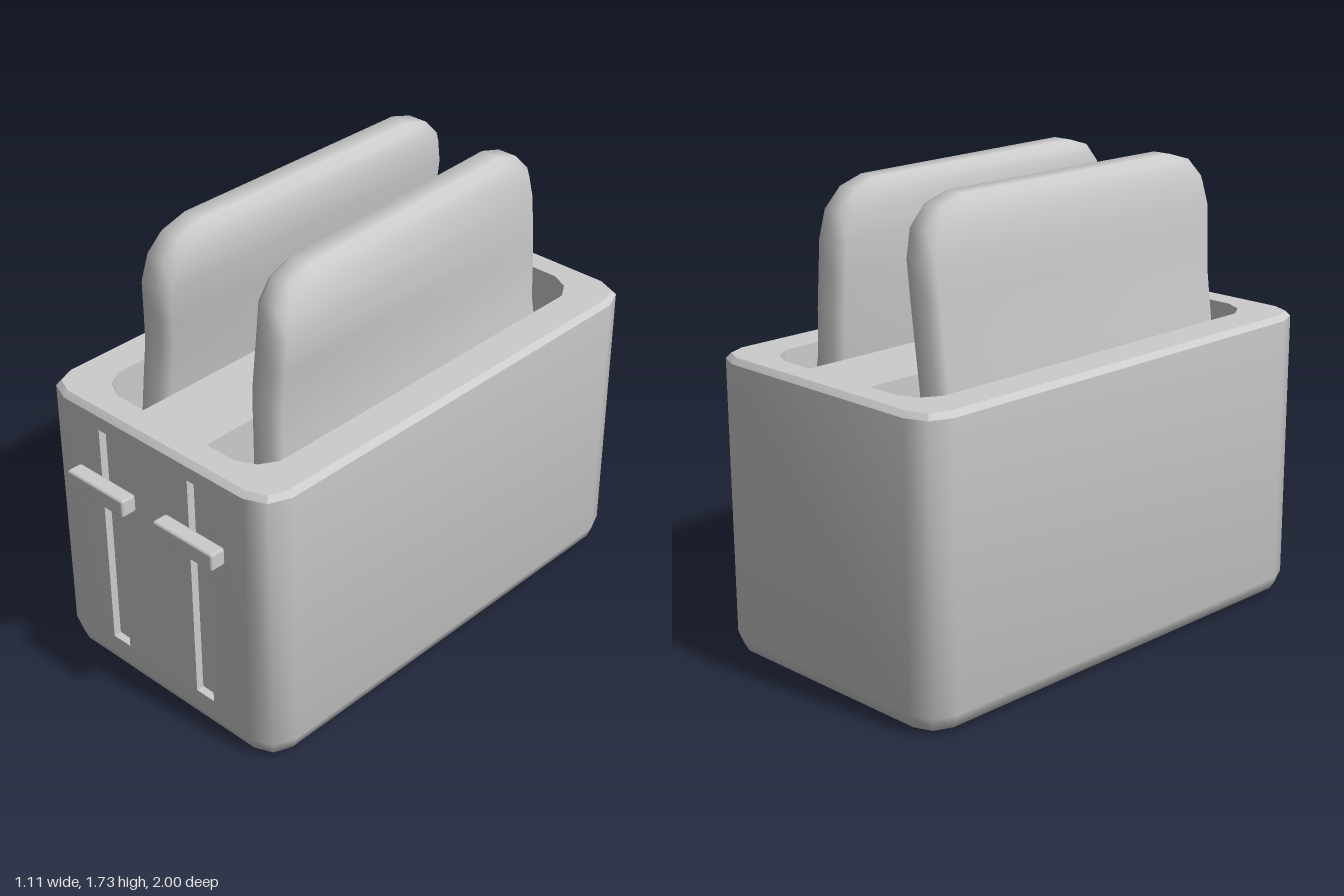
import * as THREE from 'three';
import { mergeGeometries, toCreasedNormals } from 'three/addons/utils/BufferGeometryUtils.js';
import { RoundedBoxGeometry } from 'three/addons/geometries/RoundedBoxGeometry.js';

const grey = new THREE.MeshStandardMaterial({ color: 0xcccccc });
const FRONT = 0.925, TOP = 1.12, WALL_TOP = 1.1, ZC = -0.0375;

function mesh(name, geometry) {
  const m = new THREE.Mesh(geometry, grey);
  m.name = name;
  return m;
}

// Joins closed rings of points; skip(i, j) leaves a quad open, caps adds extra quads
function loft(rings, skip = () => false, caps = []) {
  const n = rings[0].length, index = [];
  for (let i = 0; i < rings.length - 1; i++) {
    for (let j = 0; j < n; j++) {
      if (skip(i, j)) continue;
      const k = (j + 1) % n;
      const a = i * n + j, b = i * n + k, c = b + n, d = a + n;
      index.push(a, d, c, a, c, b);
    }
  }
  for (const [a, b, c, d] of caps) index.push(a, b, c, a, c, d);
  const g = new THREE.BufferGeometry();
  g.setAttribute('position', new THREE.Float32BufferAttribute(rings.flat(2), 3));
  g.setIndex(index);
  return g;
}

function flat(points, holes = []) {
  const shape = new THREE.Shape(points);
  shape.holes = holes.map((h) => new THREE.Path(h));
  return new THREE.ShapeGeometry(shape);
}

// Merges pieces on position only and smooths below the crease angle
function join(pieces, crease) {
  for (const g of pieces) {
    g.deleteAttribute('uv');
    g.deleteAttribute('normal');
  }
  return toCreasedNormals(mergeGeometries(pieces), crease);
}

// Recess below the XY plane: inward walls and a floor
function pocket(points, depth) {
  const at = (z) => points.map((p) => [p.x, p.y, z]);
  return [loft([at(-depth), at(0)]), flat(points).translate(0, 0, -depth)];
}

// Rounded rectangle outline with two facets per corner
function outline(inset) {
  const r = 0.115 - inset, pts = [];
  for (let q = 0; q < 4; q++) {
    const sx = q === 0 || q === 3 ? 1 : -1, sz = q < 2 ? 1 : -1;
    for (let s = 0; s < 3; s++) {
      const a = (q + s / 2) * Math.PI / 2;
      pts.push(new THREE.Vector2(sx * 0.44 + r * Math.cos(a), ZC + sz * 0.8475 + r * Math.sin(a)));
    }
  }
  return pts;
}

function createBody() {
  const body = new THREE.Group();
  body.name = 'body';
  const ring = (y, inset) => outline(inset).map((p) => [p.x, y, p.y]);
  const V = (x, y) => new THREE.Vector2(x, y);
  const rect = (x0, y0, x1, y1) => [V(x0, y0), V(x1, y0), V(x1, y1), V(x0, y1)];

  // Walls, rounded bottom, and front panel cut for the lever tracks
  const tracks = [-0.22, 0.22].map((x) => rect(x - 0.043, 0.14, x + 0.043, 1.045));
  const shell = [
    loft([ring(0, 0.065), ring(0.02, 0.02), ring(0.07, 0), ring(WALL_TOP, 0)], (i, j) => i === 2 && j === 2),
    flat(rect(-0.44, 0.07, 0.44, WALL_TOP), tracks).translate(0, 0, FRONT),
    flat(outline(0.065)).rotateX(Math.PI / 2),
  ];
  body.add(mesh('shell', join(shell, 0.87)));
  const grooves = tracks.flatMap((t) => pocket(t, 0.03));
  body.add(mesh('leverTracks', join(grooves, 0.5).translate(0, 0, FRONT)));

  // Chamfered rim and top plate with the two bread slots (shape y is -z)
  const half = [
    [0.155, -0.81], [0.29, -0.81], [0.36, -0.775], [0.4, -0.71],
    [0.4, 0.79], [0.36, 0.855], [0.29, 0.89], [0.155, 0.89],
  ];
  const slots = [
    half.map(([x, y]) => V(x, y)),
    half.map(([x, y]) => V(-x, y)).reverse(),
  ];
  const plate = flat(outline(0.02).map((p) => V(p.x, -p.y)), slots);
  const rim = [
    loft([ring(WALL_TOP, 0), ring(TOP, 0.02)]),
    plate.rotateX(-Math.PI / 2).translate(0, TOP, 0),
  ];
  body.add(mesh('topRim', join(rim, 0.5)));
  const wells = slots.flatMap((s) => pocket(s, 0.92));
  body.add(mesh('breadSlots', join(wells, 0.87).rotateX(-Math.PI / 2).translate(0, TOP, 0)));
  return body;
}

// Piecewise linear lookup in [y, value] pairs
function lookup(table, y) {
  if (y <= table[0][0]) return table[0][1];
  for (let i = 1; i < table.length; i++) {
    const [y0, v0] = table[i - 1], [y1, v1] = table[i];
    if (y <= y1) return v0 + (v1 - v0) * (y - y0) / (y1 - y0);
  }
  return table[table.length - 1][1];
}

// Bread slice: bevelled rows stacked upward, bent sideways at front and back ends
function createToast(name, frontBend, backBend, frontBulge) {
  const bevel = 0.03, thick = 0.07;
  // y, half length, outline normal along z and y
  const rows = [0.25, 0.8, 0.95, 1.12, 1.28, 1.4].map((y) => [y, 0.705, 1, 0]);
  rows.push([1.53, 0.705, 0.97, 0.2], [1.63, 0.68, 0.87, 0.5], [1.7, 0.61, 0.5, 0.87], [1.73, 0.51, 0.2, 0.98]);
  const layers = [thick, thick - bevel, bevel - thick, -thick];
  const rings = rows.map(([y, len, nz, ny]) => {
    const point = (x, side) => {
      const inset = Math.abs(x) === thick ? bevel : 0;
      const py = y - inset * ny;
      const bulge = side > 0 ? frontBulge * THREE.MathUtils.clamp((y - 1.28) / 0.25, 0, 1) : 0;
      const z = -0.035 + side * (len - inset * nz) + bulge;
      const t = (z + 0.74) / 1.41;
      const cx = THREE.MathUtils.lerp(lookup(backBend, y), lookup(frontBend, y), t);
      return [cx + x, py, z];
    };
    return [...layers.map((x) => point(x, 1)), ...layers.map((x) => point(x, -1)).reverse()];
  });
  const o = (rows.length - 1) * 8;
  const caps = [0, 1, 2].map((i) => [o + i, o + 7 - i, o + 6 - i, o + i + 1]);
  return mesh(name, toCreasedNormals(loft(rings, undefined, caps), 1.0));
}

export function createModel() {
  const model = new THREE.Group();
  model.name = 'toaster';
  model.add(createBody());

  // Lever handles
  for (const side of [-1, 1]) {
    const lever = mesh(side > 0 ? 'leftLever' : 'rightLever', new RoundedBoxGeometry(0.287, 0.07, 0.064, 1, 0.01));
    lever.position.set(side * 0.219, 0.835, 0.968);
    model.add(lever);
  }

  // One slice leans evenly, the other is twisted along its length
  const lean = [[0.95, -0.29], [1.12, -0.27], [1.35, -0.24], [1.6, -0.212], [1.73, -0.205]];
  model.add(createToast('rightToast', lean, lean, 0.025));
  model.add(createToast('leftToast',
    [[0.8, 0.275], [1.28, 0.275], [1.53, 0.305], [1.73, 0.285]],
    [[0.8, 0.31], [1.12, 0.25], [1.28, 0.245], [1.53, 0.225], [1.73, 0.215]], 0));
  return model;
}
